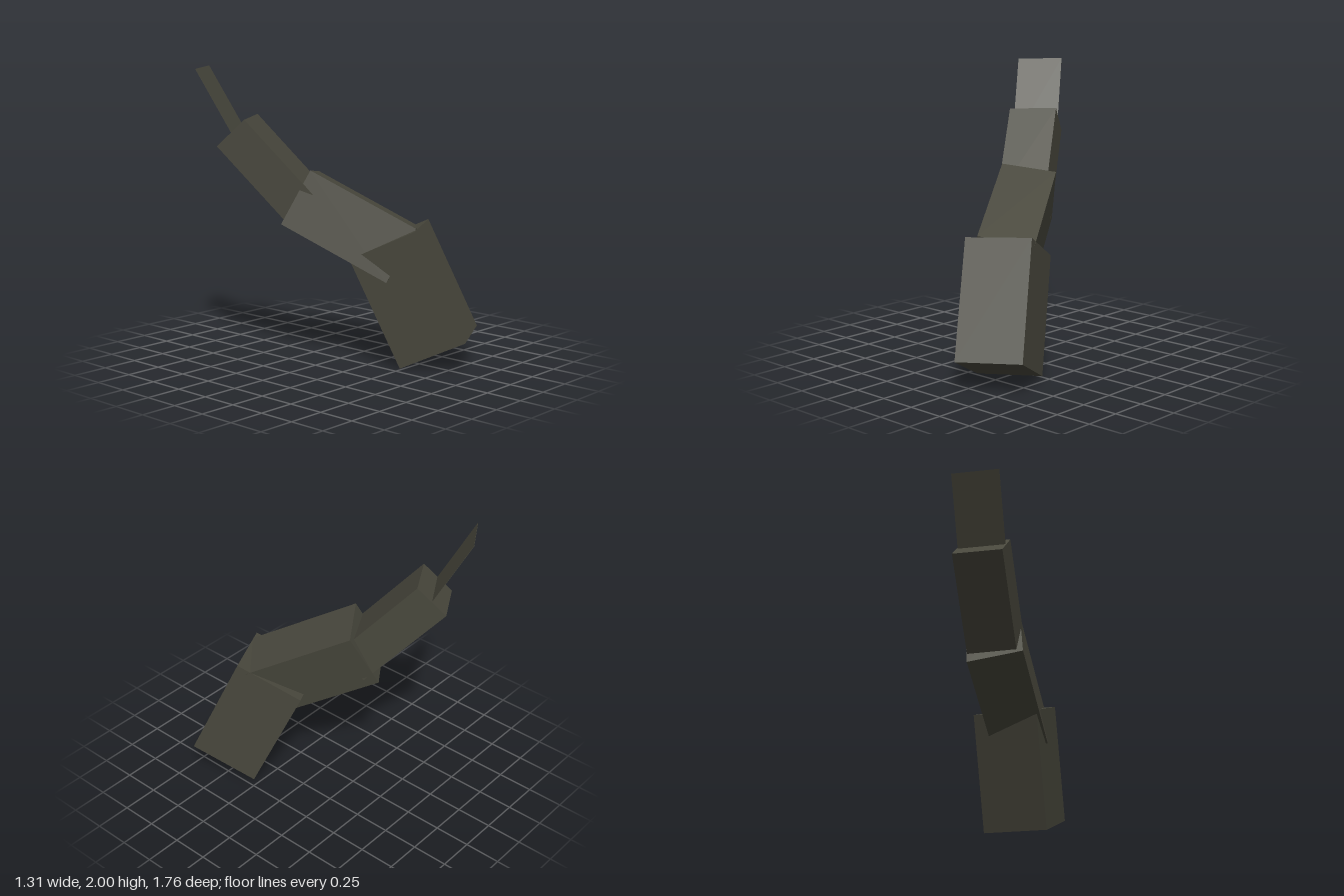
import * as THREE from 'three';

// Each segment: upper front corner, then its width, depth (front to back) and rise edges
const SEGMENTS = [
  ['baseSegment', [0.07, 0.94, 0.59], [0.4, 0.02, -0.2], [-0.19, -0.205, -0.4], [-0.185, 0.735, -0.29]],
  ['lowerSegment', [-0.22, 1.32, -0.07], [0.31, -0.05, -0.21], [-0.15, -0.36, -0.13], [-0.36, 0.37, -0.62]],
  ['upperSegment', [-0.48, 1.655, -0.43], [0.29, 0.013, -0.17], [-0.094, -0.183, -0.17], [-0.285, 0.56, -0.44]],
];
const vec = (a) => new THREE.Vector3(...a);

// Unit shape stretched and turned onto three edge vectors
function place(geometry, corner, width, depth, rise) {
  const [c, w, d, r] = [corner, width, depth, rise].map(vec);
  const centre = c.addScaledVector(w, 0.5).addScaledVector(d, 0.5).addScaledVector(r, -0.5);
  const m = new THREE.Matrix4().makeBasis(w, r, d.negate()).setPosition(centre);
  geometry.applyMatrix4(m);
  geometry.computeVertexNormals();
  return geometry;
}

export function createModel() {
  const group = new THREE.Group();
  group.name = 'segmentedTail';
  const hide = new THREE.MeshStandardMaterial({ color: 0x48473c, side: THREE.DoubleSide });
  hide.name = 'dark olive grey';

  // Three overlapping blocks, tapering upwards
  for (const [name, ...edges] of SEGMENTS) {
    const mesh = new THREE.Mesh(place(new THREE.BoxGeometry(1, 1, 1), ...edges), hide);
    mesh.name = name;
    group.add(mesh);
  }

  // Flat tip rising out of the last block
  const w = [0.275, 0.01, -0.167], r = [-0.188, 0.588, -0.274];
  const n = vec(w).cross(vec(r)).normalize().multiplyScalar(-0.002).toArray();
  const tip = new THREE.Mesh(place(new THREE.BoxGeometry(1, 1, 1), [-0.655, 1.99, -0.712], w, n, r), hide);
  tip.name = 'tip';
  group.add(tip);
  return group;
}
